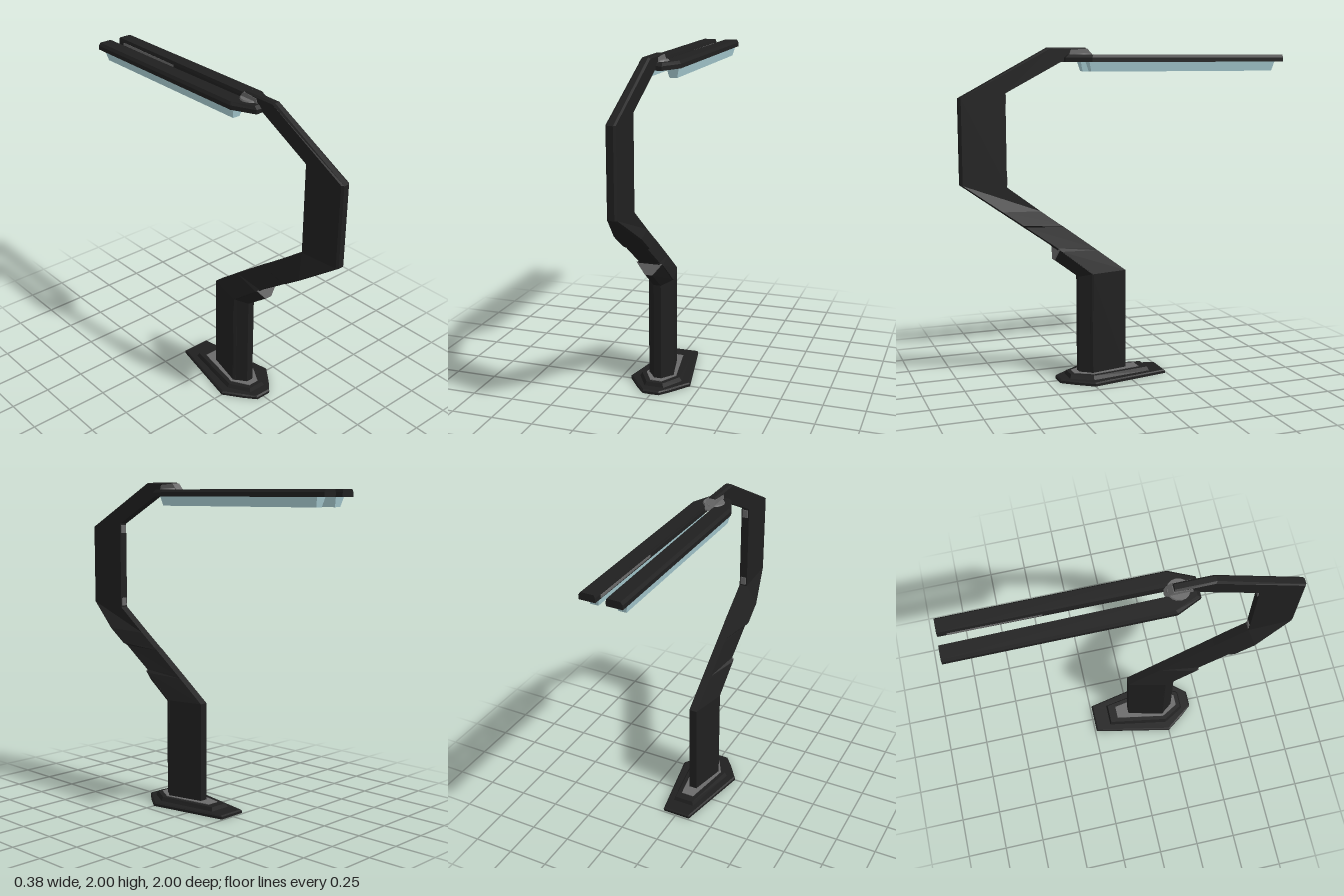
import * as THREE from 'three';

const black = new THREE.MeshStandardMaterial({ name: 'black metal', color: 0x202020 });
const grey = new THREE.MeshStandardMaterial({ name: 'grey trim', color: 0x6a6a6a });
const glass = new THREE.MeshStandardMaterial({ name: 'pale blue glass', color: 0xaed4da });

// Flat-shaded skin through matching convex rings of [x, y, z], capped at both ends
function loft(name, rings, material) {
  const pos = [];
  const tri = (a, b, c) => pos.push(...a, ...b, ...c);
  const n = rings[0].length;
  for (let r = 0; r < rings.length - 1; r++) {
    for (let i = 0; i < n; i++) {
      const j = (i + 1) % n, a = rings[r], b = rings[r + 1];
      tri(a[i], b[i], b[j]);
      tri(a[i], b[j], a[j]);
    }
  }
  const first = rings[0], last = rings[rings.length - 1];
  for (let i = 1; i < n - 1; i++) {
    tri(first[0], first[i], first[i + 1]);
    tri(last[0], last[i + 1], last[i]);
  }
  const geo = new THREE.BufferGeometry();
  geo.setAttribute('position', new THREE.Float32BufferAttribute(pos, 3));
  geo.computeVertexNormals();
  const mesh = new THREE.Mesh(geo, material);
  mesh.name = name;
  return mesh;
}

// Symmetric ring from [halfWidth, y, z] points on the +x side
const mirrorRing = (half) => [...half, ...half.slice().reverse().map(([x, y, z]) => [-x, y, z])];

// Horizontal layers: each is [y, [[x, z], ...]]
const plate = (name, layers, material) =>
  loft(name, layers.map(([y, pts]) => mirrorRing(pts.map(([x, z]) => [x, y, z]))), material);

// Arm stations: inner edge z, y; outer edge z, y; outer half width
const STATIONS = [
  [0, 0.04, 0.23, 0.04, 0.078],
  [0, 0.66, 0.23, 0.66, 0.078],
  [0.18, 0.795, 0.42, 0.81, 0.078],
  [0.2, 0.81, 0.44, 0.83, 0.065],
  [0.39, 0.95, 0.63, 0.965, 0.065],
  [0.42, 0.97, 0.65, 0.98, 0.08],
  [0.53, 1.05, 0.77, 1.065, 0.08],
  [0.73, 1.2, 0.988, 1.22, 0.028],
  [0.73, 1.74, 0.988, 1.715, 0.028],
  [0.39, 1.92, 0.465, 1.99, 0.026],
  [0.2, 1.94, 0.24, 1.99, 0.026],
];

function armRing([uz, uy, lz, ly, w]) {
  const d = Math.hypot(lz - uz, ly - uy);
  const k = 0.012 / d;
  return mirrorRing([
    [0.025, uy, uz],
    [w, ly, lz],
    [w - 0.011, ly + (ly - uy) * k, lz + (lz - uz) * k],
  ]);
}

export function createModel() {
  const model = new THREE.Group();
  model.name = 'streetLamp';

  // Foot with a stepped top and an inlaid plate
  const foot = [[0.09, -0.24], [0.19, 0.25], [0.11, 0.36], [0.05, 0.43]];
  const footTop = [[0.085, -0.23], [0.18, 0.25], [0.105, 0.35], [0.05, 0.42]];
  model.add(plate('foot', [[0, foot], [0.015, foot], [0.022, footTop]], black));
  model.add(plate('footStep', [
    [0.02, [[0.07, -0.14], [0.135, 0.24], [0.06, 0.37]]],
    [0.045, [[0.06, -0.13], [0.12, 0.24], [0.05, 0.36]]],
  ], black));
  const inlay = [[0.04, -0.08], [0.095, 0.23], [0.035, 0.335]];
  model.add(plate('footInlay', [[0.044, inlay], [0.049, inlay]], grey));

  // Bent arm from the column to the lamp head
  model.add(loft('arm', STATIONS.map(armRing), black));

  // Keel on the front of the column, ending in a grey face below the arm
  const keelRing = ([lz, ly, kz, ky]) => mirrorRing([[0.078, ly, lz], [0.022, ky, kz]]);
  model.add(loft('columnKeel', [
    [0.225, 0.04, 0.3, 0.04], [0.225, 0.66, 0.3, 0.64], [0.43, 0.82, 0.445, 0.75],
  ].map(keelRing), black));
  model.add(loft('keelEnd', [
    [0.43, 0.82, 0.445, 0.75], [0.437, 0.823, 0.451, 0.753],
  ].map(keelRing), grey));

  // Grey pads at the inner corners of the upright
  for (const y of [1.235, 1.705]) {
    const pad = new THREE.Mesh(new THREE.BoxGeometry(0.036, 0.05, 0.008), grey);
    pad.name = 'cornerPad';
    pad.position.set(0, y, 0.729);
    model.add(pad);
  }

  // Grey joint between arm and lamp bars
  model.add(loft('armTip', [
    mirrorRing([[0.029, 1.95, 0.35], [0.029, 1.985, 0.34]]),
    mirrorRing([[0.029, 1.945, 0.195], [0.029, 1.992, 0.238]]),
  ], grey));
  const joint = new THREE.Mesh(new THREE.CylinderGeometry(0.06, 0.078, 0.03, 16), grey);
  joint.name = 'lampJoint';
  joint.position.set(0, 1.95, 0.27);
  model.add(joint);

  // Twin lamp bars with glass below
  for (const s of [1, -1]) {
    const side = s > 0 ? 'left' : 'right';
    const layer = (y, pts) => {
      const ring = pts.map(([x, z]) => [s * x, y, z]);
      return s > 0 ? ring : ring.reverse();
    };
    model.add(loft(side + 'LampBar', [
      layer(1.915, [[0.03, -1], [0.125, -1], [0.125, 0.24], [0.06, 0.38], [0.02, 0.38]]),
      layer(1.94, [[0.03, -1], [0.125, -1], [0.125, 0.24], [0.06, 0.38], [0.02, 0.38]]),
      layer(1.957, [[0.035, -1], [0.113, -1], [0.113, 0.23], [0.055, 0.36], [0.025, 0.36]]),
    ], black));
    model.add(loft(side + 'LampGlass', [
      layer(1.86, [[0.057, -0.93], [0.103, -0.93], [0.103, 0.24], [0.057, 0.24]]),
      layer(1.918, [[0.044, -0.945], [0.117, -0.945], [0.117, 0.255], [0.044, 0.255]]),
    ], glass));
    const strip = new THREE.Mesh(new THREE.BoxGeometry(0.006, 0.016, 1.1), grey);
    strip.name = side + 'LampInnerStrip';
    strip.position.set(s * 0.029, 1.929, -0.4);
    model.add(strip);
  }
  return model;
}
